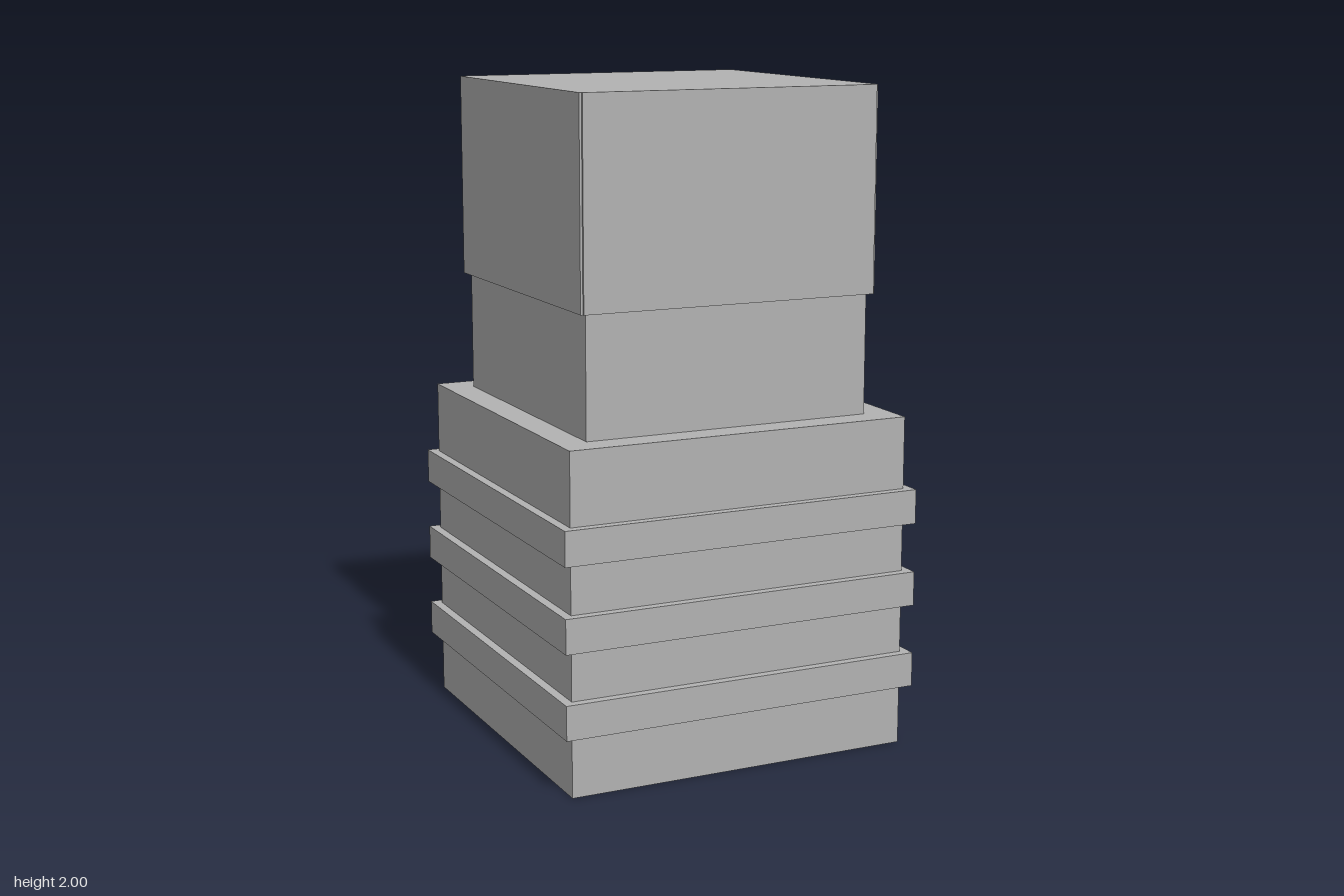
import * as THREE from 'three';

export function createModel() {
  const model = new THREE.Group();
  const grey = new THREE.MeshStandardMaterial({ color: 0xb2b2b2 });
  grey.name = 'plain grey';

  // Square block given by half width and its bottom and top heights
  function block(name, half, y0, y1) {
    const mesh = new THREE.Mesh(new THREE.BoxGeometry(half * 2, y1 - y0, half * 2), grey);
    mesh.name = name;
    mesh.position.y = (y0 + y1) / 2;
    model.add(mesh);
    return mesh;
  }

  block('base', 0.542, 0, 1.02);
  block('neck', 0.453, 1.02, 1.39);

  // Three raised bands around the base
  for (let i = 0; i < 3; i++) {
    const y = 0.185 + i * 0.255;
    block('band' + (i + 1), 0.57, y, y + 0.105);
  }

  // Cap: a core with a thin panel on each side, leaving fine seams at the corners
  const coreHalf = 0.466, panel = 0.007, y0 = 1.385, y1 = 2;
  block('capCore', coreHalf, y0, y1);
  for (let i = 0; i < 4; i++) {
    const geometry = new THREE.BoxGeometry(coreHalf * 2, y1 - y0, panel);
    geometry.translate(0, (y0 + y1) / 2, coreHalf + panel / 2);
    const side = new THREE.Mesh(geometry, grey);
    side.name = 'capPanel' + (i + 1);
    side.rotation.y = i * Math.PI / 2;
    model.add(side);
  }

  return model;
}
